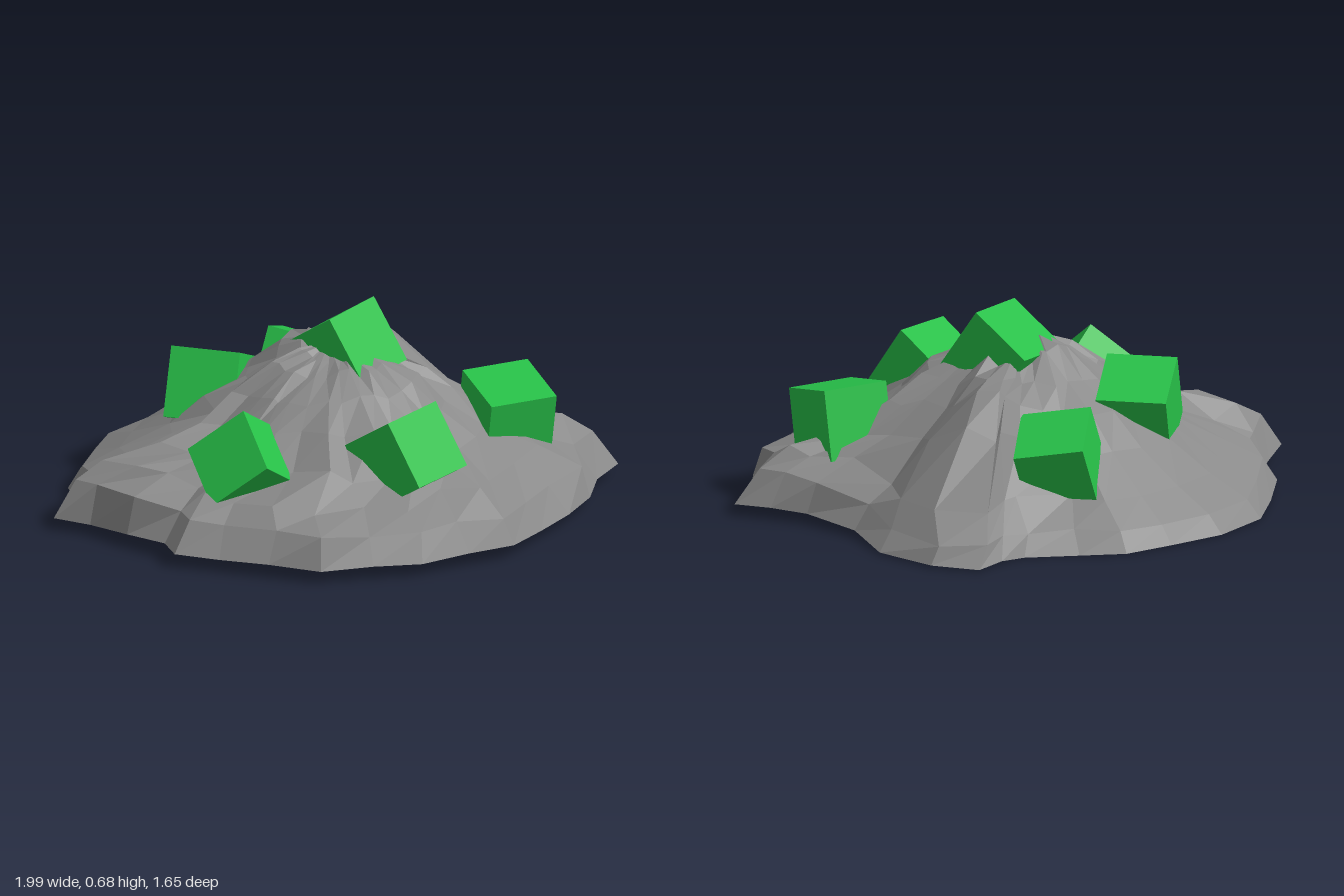
import * as THREE from 'three';

// Rim of the mound as x, z pairs, walking from +x towards +z
const RIM = [
  0.99, 0.17, 0.87, 0.29, 0.79, 0.44, 0.67, 0.56, 0.53, 0.67, 0.39, 0.78, 0.22, 0.8, 0.04, 0.825,
  -0.13, 0.8, -0.31, 0.77, -0.46, 0.66, -0.6, 0.55, -0.73, 0.46, -0.73, 0.36, -0.82, 0.23, -0.9, 0.08,
  -1.0, -0.01, -0.9, -0.12, -0.86, -0.17, -0.84, -0.31, -0.73, -0.49, -0.61, -0.66, -0.41, -0.77, -0.2, -0.81,
  -0.02, -0.83, 0.13, -0.77, 0.31, -0.71, 0.41, -0.74, 0.52, -0.79, 0.65, -0.68, 0.74, -0.46, 0.73, -0.24,
  0.81, -0.03, 0.9, 0.07,
];

// Cross-sections from the underside centre, round the rim, to the peak:
// [scale of rim, height at front, height at back, roughness]
const RINGS = [
  [0, 0.03, 0.03, 0],
  [1, 0.05, 0.005, 0.3],
  [0.94, 0.15, 0.07, 0.5],
  [0.8, 0.205, 0.15, 1],
  [0.62, 0.27, 0.26, 1],
  [0.46, 0.365, 0.36, 1],
  [0.33, 0.45, 0.45, 1],
  [0.21, 0.51, 0.515, 1],
  [0.11, 0.54, 0.55, 0.8],
  [0, 0.56, 0.56, 0],
];

// Shoulders and hollows on the slope: [x, z, height, spread]
const BUMPS = [
  [0.31, -0.37, 0.15, 0.028],
  [-0.1, -0.14, 0.035, 0.01],
  [-0.85, 0.08, 0.05, 0.06],
  [0.85, 0.12, 0.03, 0.04],
  [-0.42, 0, -0.035, 0.04],
];

function seeded(seed) {
  return () => {
    seed = (seed * 16807) % 2147483647;
    return (seed / 2147483647) * 2 - 1;
  };
}

function bumpHeight(x, z) {
  return BUMPS.reduce(
    (sum, [bx, bz, height, spread]) => sum + height * Math.exp(-((x - bx) ** 2 + (z - bz) ** 2) / spread),
    0
  );
}

function createMound() {
  const noise = seeded(4711);
  const count = RIM.length / 2;
  const positions = [];
  const indices = [];

  RINGS.forEach(([scale, front, back, rough], ring) => {
    for (let j = 0; j < count; j++) {
      const rimX = RIM[2 * j];
      const rimZ = RIM[2 * j + 1];
      const angle = Math.atan2(rimZ, rimX);
      const blend = THREE.MathUtils.smoothstep(-Math.sin(angle), -0.4, 0.8);
      // the back right-hand slope is worn smoother than the rest
      const smoothSide = rimX < 0.1 && rimZ < -0.15 && scale > 0.5;
      const amount = rough * (smoothSide ? 0.25 : 1);
      const turn = scale < 1 ? amount * noise() * 0.05 : 0;
      const s = scale * (1 + (scale < 1 ? amount * noise() * 0.06 : 0));
      const c = Math.cos(turn) * s;
      const d = Math.sin(turn) * s;
      const x = rimX * c - rimZ * d;
      const z = rimZ * c + rimX * d;
      const y = THREE.MathUtils.lerp(front, back, blend) + amount * noise() * 0.02;
      positions.push(x, Math.max(0, y + (ring > 1 ? bumpHeight(x, z) : 0)), z);

      if (ring + 1 < RINGS.length) {
        const a = ring * count + j;
        const b = ring * count + ((j + 1) % count);
        if (scale > 0) indices.push(a, a + count, b);
        if (RINGS[ring + 1][0] > 0) indices.push(b, a + count, b + count);
      }
    }
  });

  const geometry = new THREE.BufferGeometry();
  geometry.setAttribute('position', new THREE.Float32BufferAttribute(positions, 3));
  geometry.setIndex(indices);
  geometry.computeVertexNormals();
  const mound = new THREE.Mesh(
    geometry,
    new THREE.MeshStandardMaterial({ color: 0x8a8a8a, flatShading: true })
  );
  mound.name = 'rockMound';
  return mound;
}

// Half-buried cubes: centre and two edge directions
const CUBES = [
  ['topCube', [0.068, 0.508, -0.025], [0.21, 0.01, -0.13], [0.09, -0.205, 0.11]],
  ['frontCube', [0.105, 0.31, 0.48], [0.205, 0.01, -0.11], [0.075, -0.19, 0.105]],
  ['frontRightCube', [-0.405, 0.258, 0.285], [0.17, -0.13, -0.1], [0.03, -0.16, 0.21]],
  ['backRightCube', [-0.335, 0.34, -0.27], [0.18, 0, 0.13], [0.13, -0.1, -0.18]],
  ['backCube', [0.075, 0.26, -0.5], [-0.19, 0.04, -0.14], [-0.14, 0.09, 0.16]],
  ['leftCube', [0.58, 0.287, 0.18], [0.24, 0, -0.02], [0.02, -0.05, 0.24]],
];

export function createModel() {
  const model = new THREE.Group();
  model.name = 'rockMoundWithCubes';
  model.add(createMound());

  const cubeGeometry = new THREE.BoxGeometry(0.245, 0.245, 0.245);
  const green = new THREE.MeshStandardMaterial({ color: 0x27c048 });
  for (const [name, centre, edgeA, edgeB] of CUBES) {
    const a = new THREE.Vector3(...edgeA).normalize();
    const c = a.clone().cross(new THREE.Vector3(...edgeB)).normalize();
    const b = c.clone().cross(a);
    const cube = new THREE.Mesh(cubeGeometry, green);
    cube.name = name;
    cube.quaternion.setFromRotationMatrix(new THREE.Matrix4().makeBasis(a, b, c));
    cube.position.set(...centre);
    model.add(cube);
  }
  return model;
}
